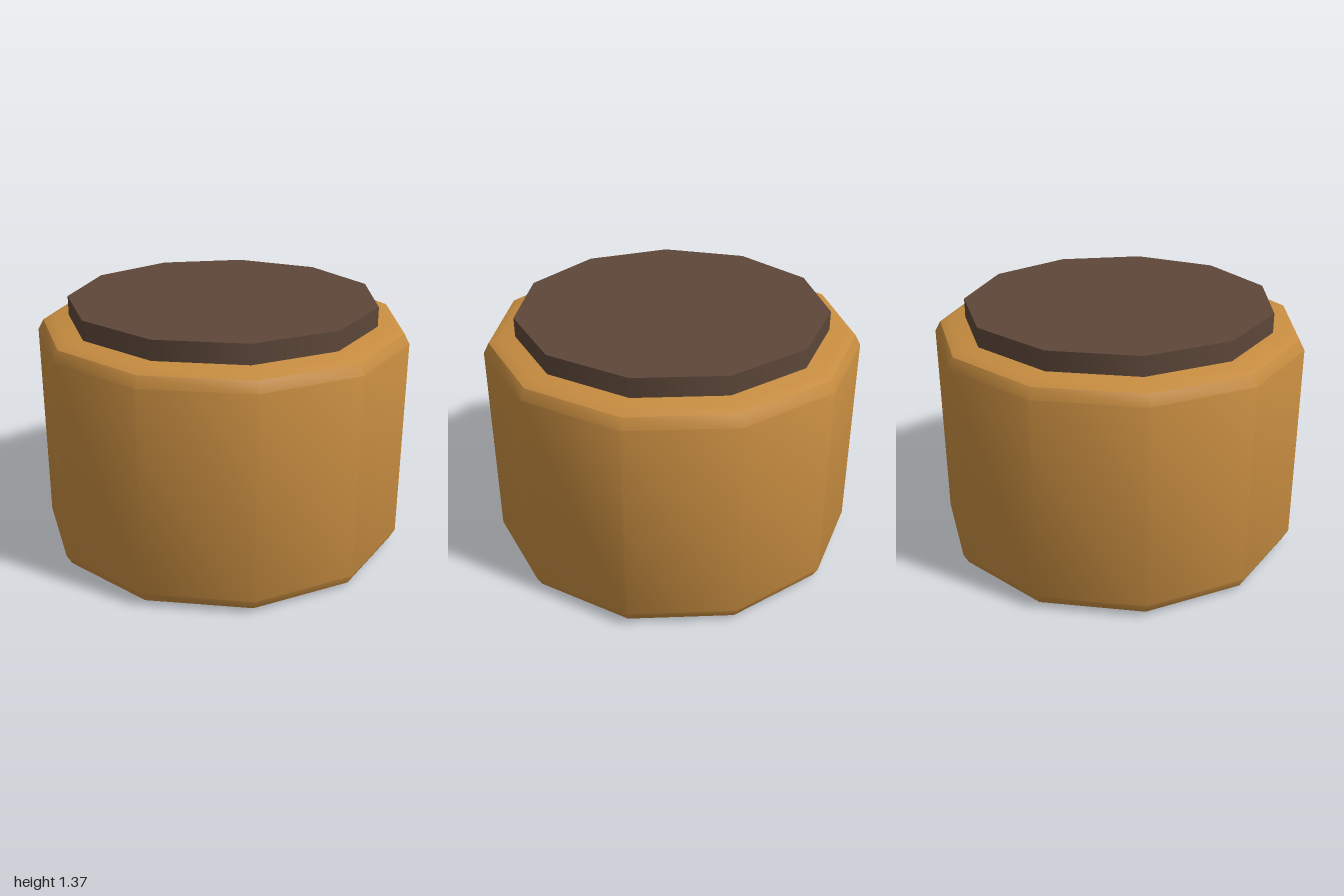
import * as THREE from 'three';
import { toCreasedNormals } from 'three/addons/utils/BufferGeometryUtils.js';

const SIDES = 11;

export function createModel() {
  const group = new THREE.Group();
  group.name = 'cappedDrum';

  // Body: eleven-sided drum with a two-step bevel at both rims
  const bottom = [[0, 0], [0.92, 0], [0.98, 0.025], [1.01, 0.08]];
  const height = 1.265;
  const top = bottom.map(([r, y]) => [r, height - y]).reverse();
  const profile = [...bottom, ...top].map(([r, y]) => new THREE.Vector2(r, y));
  const body = new THREE.Mesh(
    toCreasedNormals(new THREE.LatheGeometry(profile, SIDES, Math.PI), THREE.MathUtils.degToRad(35)),
    new THREE.MeshStandardMaterial({ color: 0xc68c40 })
  );
  body.name = 'body';

  // Lid: thin plate with the same corners, set slightly into the body
  const lid = new THREE.Mesh(
    new THREE.CylinderGeometry(0.84, 0.84, 0.11, SIDES, 1, false, Math.PI),
    new THREE.MeshStandardMaterial({ color: 0x5d4739 })
  );
  lid.name = 'lid';
  lid.position.y = 1.315;

  // An odd number of sides needs a small shift to be centred in z
  group.add(body, lid);
  for (const part of group.children) part.position.z = 0.02;
  return group;
}
